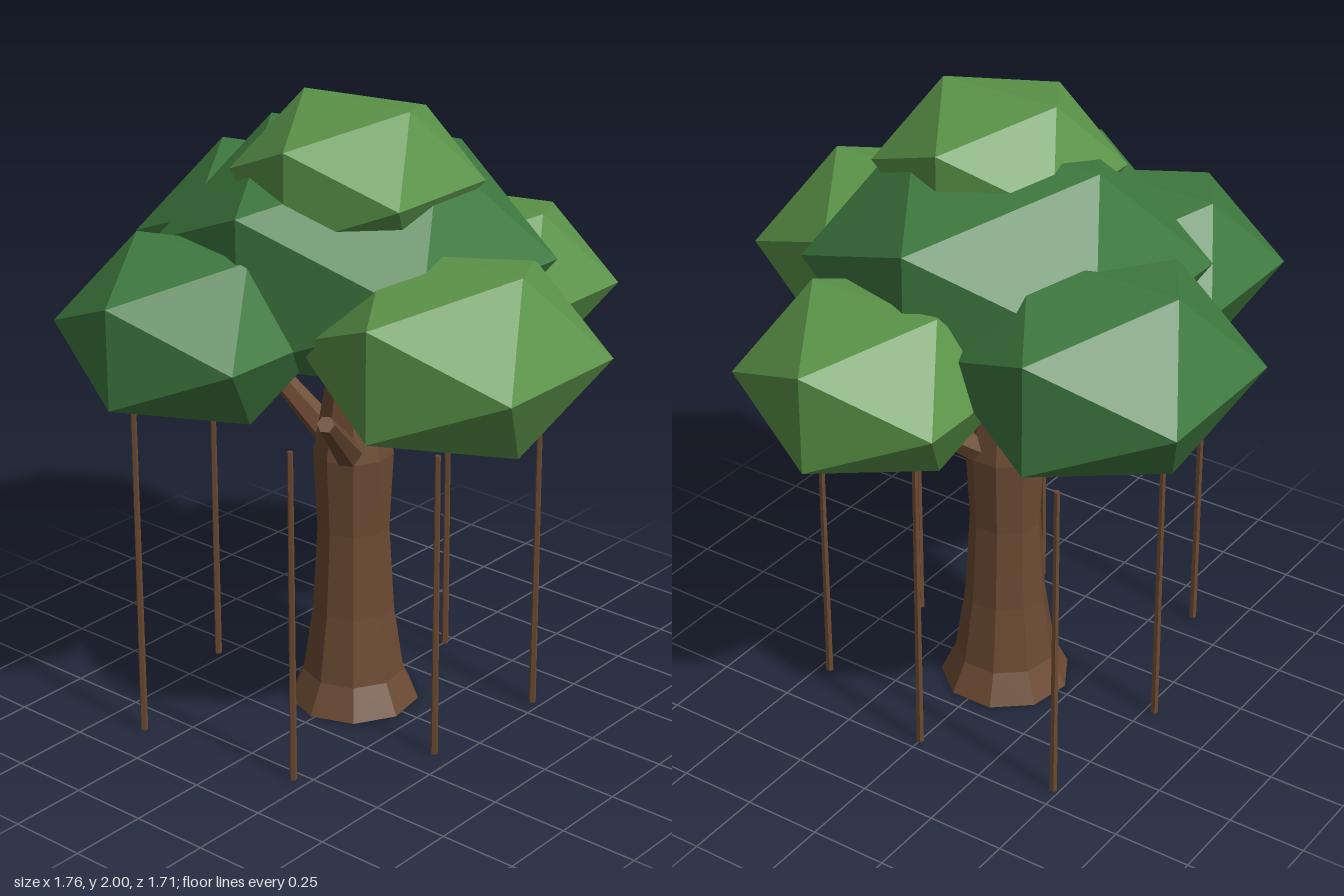
import * as THREE from 'three';

const mat = (color) => new THREE.MeshStandardMaterial({ color, flatShading: true });

export function createModel() {
  const tree = new THREE.Group();
  tree.name = 'tree';
  const bark = mat(0x6b4a32);
  const darkLeaf = mat(0x3f7a40);
  const lightLeaf = mat(0x5b9448);
  const CX = -0.012; // trunk axis

  const add = (name, geometry, material, x, y, z) => {
    const mesh = new THREE.Mesh(geometry, material);
    mesh.name = name;
    mesh.position.set(x, y, z);
    tree.add(mesh);
    return mesh;
  };

  // Nine-sided trunk, flared at the foot and swelling at the fork
  const profile = [
    [0, 0], [0.21, 0], [0.162, 0.1], [0.13, 0.32], [0.114, 0.6],
    [0.127, 0.85], [0.083, 1.1], [0, 1.1],
  ].map(([r, y]) => new THREE.Vector2(r, y));
  add('trunk', new THREE.LatheGeometry(profile, 9), bark, CX, 0, 0);

  // Three tapered branches, evenly spread around the fork
  const up = new THREE.Vector3(0, 1, 0);
  for (const degrees of [60, 180, 300]) {
    const a = THREE.MathUtils.degToRad(degrees);
    const at = (r, y) => new THREE.Vector3(CX + r * Math.cos(a), y, r * Math.sin(a));
    const base = at(0.1, 0.88);
    const tip = at(0.46, 1.125);
    const axis = tip.clone().sub(base);
    const mid = base.clone().add(tip).multiplyScalar(0.5);
    const branch = add('branch', new THREE.CylinderGeometry(0.026, 0.046, axis.length(), 6),
      bark, mid.x, mid.y, mid.z);
    branch.quaternion.setFromUnitVectors(up, axis.normalize());
  }

  // Thin hanging roots: x, z, height
  const roots = [
    [0.2, 0.535, 1.08], [-0.36, 0.605, 1.13], [-0.53, 0.08, 1.0], [0.43, 0.14, 1.0],
    [0.465, -0.32, 1.0], [0.0, -0.46, 1.08], [-0.48, -0.43, 1.08],
  ];
  for (const [x, z, h] of roots) {
    add('hangingRoot', new THREE.CylinderGeometry(0.009, 0.012, h, 5), bark, x, h / 2, z);
  }

  // Flattened icosahedron leaf clumps: x, y, z, radius, material
  const clumps = [
    [CX, 1.505, 0, 0.613, darkLeaf],
    [-0.475, 1.39, -0.2, 0.475, darkLeaf],
    [0.488, 1.35, 0.15, 0.46, lightLeaf],
    [-0.207, 1.352, 0.498, 0.42, darkLeaf],
    [0.102, 1.31, -0.502, 0.42, lightLeaf],
    [0.065, 1.774, 0.077, 0.38, lightLeaf],
  ];
  for (const [x, y, z, r, material] of clumps) {
    add('leafClump', new THREE.IcosahedronGeometry(r, 0), material, x, y, z).scale.y = 0.7;
  }

  return tree;
}
